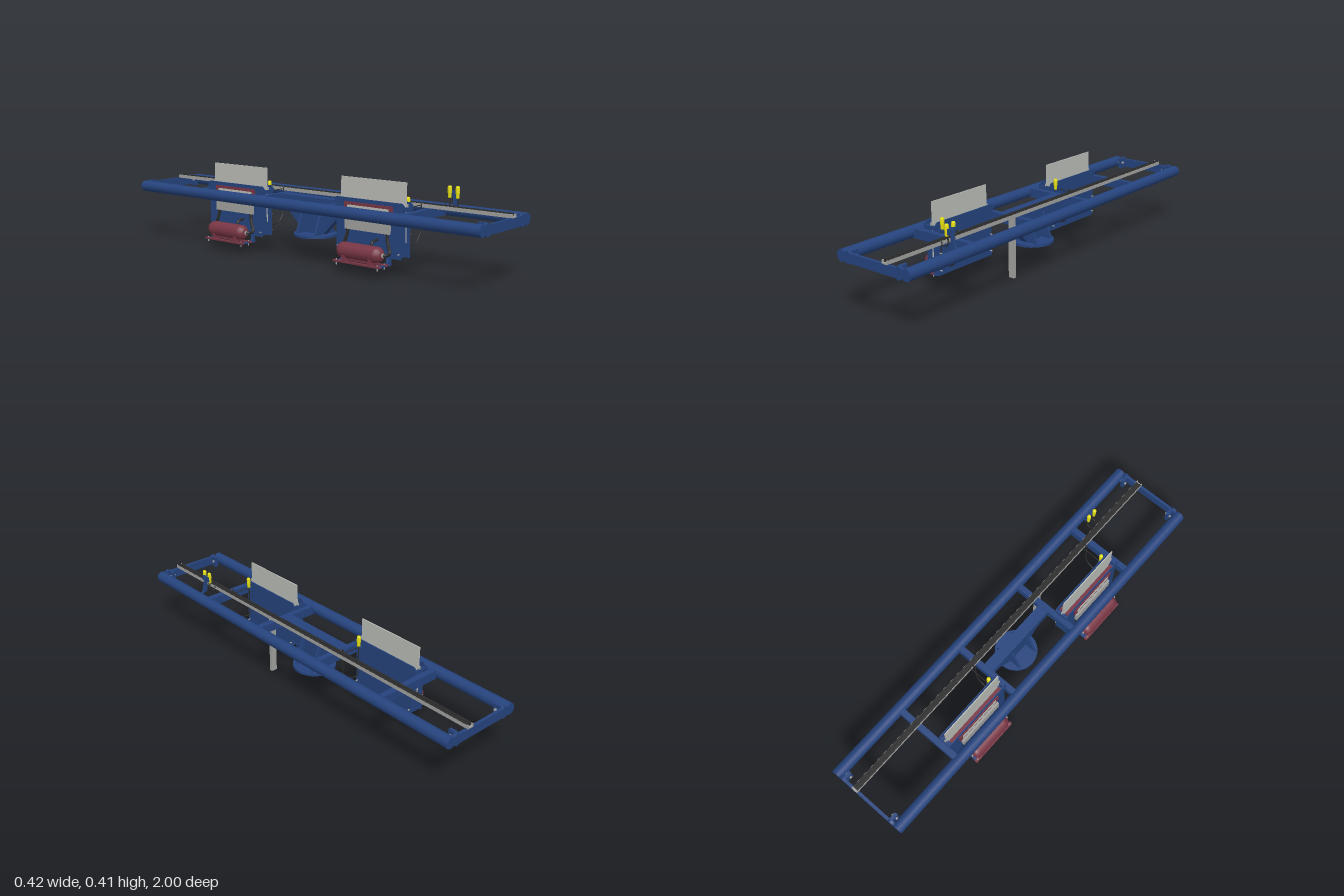
import * as THREE from 'three';

const mat = (name, color, side = THREE.FrontSide) => {
  const m = new THREE.MeshStandardMaterial({ color, side });
  m.name = name;
  return m;
};

export function createModel() {
  const blue = mat('frame blue', 0x25437d);
  const grey = mat('rail grey', 0xa0a09e);
  const pale = mat('sheet grey', 0xbabcb6);
  const black = mat('hose black', 0x2b2b2b);
  const maroon = mat('motor maroon', 0x783644);
  const yellow = mat('lamp yellow', 0xe6e010);
  const root = new THREE.Group();
  root.name = 'machineFrame';

  const add = (parent, name, geo, material) => {
    const m = new THREE.Mesh(geo, material);
    m.name = name;
    parent.add(m);
    return m;
  };
  // box from its limits on each axis
  const box = (parent, name, material, x0, x1, y0, y1, z0, z1) => {
    const g = new THREE.BoxGeometry(x1 - x0, y1 - y0, z1 - z0);
    g.translate((x0 + x1) / 2, (y0 + y1) / 2, (z0 + z1) / 2);
    return add(parent, name, g, material);
  };
  const cyl = (parent, name, material, r, len, axis, x, y, z, sides = 16) => {
    const g = new THREE.CylinderGeometry(r, r, len, sides);
    if (axis === 'z') g.rotateX(Math.PI / 2);
    if (axis === 'x') g.rotateZ(Math.PI / 2);
    g.translate(x, y, z);
    return add(parent, name, g, material);
  };
  const poly = pts => new THREE.Shape(pts.map(p => new THREE.Vector2(...p)));
  // outline in x/y, thickness centred on z
  const plateXY = (parent, name, material, shape, thick, z) => {
    const g = new THREE.ExtrudeGeometry(shape, { depth: thick, bevelEnabled: false, curveSegments: 8 });
    g.translate(0, 0, z - thick / 2);
    return add(parent, name, g, material);
  };
  // outline in z/y, thickness centred on x
  const plateZY = (parent, name, material, shape, thick, x) => {
    const g = new THREE.ExtrudeGeometry(shape, { depth: thick, bevelEnabled: false });
    g.rotateY(-Math.PI / 2).translate(x + thick / 2, 0, 0);
    return add(parent, name, g, material);
  };
  const hose = (parent, name, r, pts, material = black) => {
    const c = new THREE.CatmullRomCurve3(pts.map(p => new THREE.Vector3(...p)), false, 'centripetal');
    return add(parent, name, new THREE.TubeGeometry(c, 28, r, 8), material);
  };
  const lamp = (parent, x, y, z) => {
    const pts = [[0, 0], [0.007, 0], [0.008, 0.004], [0.008, 0.02], [0.0095, 0.022],
      [0.0095, 0.046], [0.007, 0.053], [0, 0.053]].map(p => new THREE.Vector2(...p));
    const g = new THREE.LatheGeometry(pts, 10);
    g.translate(x, y, z);
    add(parent, 'sensorLamp', g, yellow);
  };

  // long side tubes, end plates with round ends, corner lugs
  for (const s of [-1, 1]) {
    cyl(root, 'sideTube', blue, 0.027, 1.996, 'z', s * 0.181, 0.265, 0, 20);
    const st = new THREE.Shape();
    st.moveTo(-0.13, 0.242);
    st.lineTo(0.13, 0.242);
    st.lineTo(0.14, 0.235);
    st.absarc(0.14, 0.265, 0.029, -Math.PI / 2, Math.PI / 2, false);
    st.lineTo(0.13, 0.285);
    st.lineTo(-0.13, 0.285);
    st.absarc(-0.14, 0.265, 0.029, Math.PI / 2, Math.PI * 1.5, false);
    plateXY(root, 'endPlate', blue, st, 0.014, s * 0.993);
    for (const e of [-1, 1]) {
      box(root, 'cornerLug', blue, s * 0.138 - 0.008, s * 0.138 + 0.008, 0.238, 0.292, e * 0.97 - 0.018, e * 0.97 + 0.018);
      cyl(root, 'lugPin', grey, 0.006, 0.03, 'x', s * 0.138, 0.268, e * 0.965, 10);
      cyl(root, 'tubeCap', blue, 0.025, 0.004, 'z', s * 0.181, 0.265, e * 0.998, 20);
    }
  }
  // cross beams and centre beam
  for (const z of [-0.6, -0.205, 0.205, 0.6])
    box(root, 'crossBeam', blue, -0.165, 0.165, 0.242, 0.284, z - 0.014, z + 0.014);
  box(root, 'centreBeam', blue, -0.027, 0.027, 0.24, 0.283, -0.2, 0.2);

  // pedestal: foot disc, sloping web and two cross gussets
  cyl(root, 'footDisc', blue, 0.102, 0.012, 'y', 0.002, 0.106, 0, 32);
  plateZY(root, 'pedestalWeb', blue, poly([[-0.06, 0.112], [0.06, 0.112], [0.185, 0.241], [-0.185, 0.241]]), 0.034, 0.002);
  for (const z of [-0.055, 0.055])
    plateXY(root, 'pedestalGusset', blue, poly([[-0.072, 0.112], [0.074, 0.112], [0.021, 0.242], [-0.019, 0.242]]), 0.01, z);

  // cable rail: grey channel with black chain, and its post
  box(root, 'railBase', grey, 0.053, 0.083, 0.284, 0.29, -1, 1);
  for (const x of [0.053, 0.079])
    box(root, 'railWall', grey, x, x + 0.004, 0.288, 0.301, -1, 1);
  box(root, 'cableChain', black, 0.057, 0.079, 0.29, 0.2985, -0.99, 0.99);
  box(root, 'railCover', black, 0.054, 0.065, 0.2985, 0.3025, -0.99, 0.99);
  box(root, 'railCover', black, 0.071, 0.082, 0.2985, 0.3025, -0.99, 0.99);
  box(root, 'railPost', grey, 0.053, 0.083, 0, 0.284, 0.221, 0.236);

  // two press units, alike
  for (const z of [-0.4, 0.4]) {
    const u = new THREE.Group();
    u.name = 'pressUnit';
    u.position.z = z;
    root.add(u);

    // casing: face plates, ends, bottom
    const face = poly([[-0.174, 0.08], [0.174, 0.08], [0.174, 0.285], [0.188, 0.292], [0.188, 0.31],
      [0.176, 0.322], [-0.176, 0.322], [-0.188, 0.31], [-0.188, 0.292], [-0.174, 0.285]]);
    plateZY(u, 'frontFace', blue, face, 0.005, -0.0575);
    plateZY(u, 'rearFace', blue, face, 0.005, -0.1195);
    box(u, 'casingBottom', blue, -0.118, -0.058, 0.088, 0.096, -0.172, 0.172);
    for (const s of [-1, 1]) {
      box(u, 'casingEnd', blue, -0.118, -0.058, 0.092, 0.285, s * 0.169 - 0.004, s * 0.169 + 0.004);
      box(u, 'topBridge', blue, -0.118, -0.058, 0.286, 0.304, s * 0.181 - 0.005, s * 0.181 + 0.005);
      cyl(u, 'bridgeBolt', grey, 0.004, 0.014, 'y', -0.087, 0.31, s * 0.181, 8);
      // clamping bars either side of the sheet
      box(u, 'clampBar', maroon, -0.0875 + s * 0.017 - 0.009, -0.0875 + s * 0.017 + 0.009, 0.265, 0.295, -0.165, 0.165);
      cyl(u, 'faceBolt', grey, 0.003, 0.012, 'x', -0.05, 0.182, s * 0.165, 8);
      cyl(u, 'faceBolt', grey, 0.003, 0.012, 'x', -0.05, 0.103, s * 0.165, 8);
      cyl(u, 'rearBolt', grey, 0.003, 0.012, 'x', -0.125, 0.103, s * 0.165, 8);
    }
    for (let i = -2; i <= 2; i++)
      cyl(u, 'drainPlug', grey, 0.005, 0.006, 'y', -0.087, 0.087, i * 0.07, 8);
    box(u, 'slidingSheet', pale, -0.0895, -0.0845, 0.15, 0.409, -0.175, 0.175);

    // rear panel and manifold
    box(u, 'rearPanel', maroon, -0.127, -0.122, 0.25, 0.305, -0.13, 0.13);
    box(u, 'panelInset', pale, -0.129, -0.127, 0.264, 0.292, -0.11, 0.11);
    box(u, 'manifold', grey, -0.136, -0.122, 0.185, 0.24, -0.12, 0.12);

    // motor on its tray
    const prof = [[0, -0.118], [0.014, -0.117], [0.026, -0.111], [0.034, -0.099], [0.036, -0.085],
      [0.036, 0.085], [0.034, 0.099], [0.026, 0.111], [0.014, 0.117], [0, 0.118]];
    const body = new THREE.LatheGeometry(prof.map(p => new THREE.Vector2(...p)), 16);
    body.rotateX(Math.PI / 2).translate(-0.177, 0.101, 0);
    add(u, 'motorBody', body, maroon);
    for (const s of [-1, 1]) {
      box(u, 'motorSaddle', maroon, -0.208, -0.144, 0.055, 0.092, s * 0.07 - 0.007, s * 0.07 + 0.007);
      box(u, 'trayRail', maroon, -0.177 + s * 0.026 - 0.008, -0.177 + s * 0.026 + 0.008, 0.05, 0.058, -0.125, 0.125);
      box(u, 'trayArm', blue, -0.21, -0.118, 0.049, 0.054, s * 0.11 - 0.012, s * 0.11 + 0.012);
      plateXY(u, 'trayBracket', blue, poly([[-0.142, 0.052], [-0.119, 0.052], [-0.119, 0.09], [-0.122, 0.076]]), 0.008, s * 0.11);
      box(u, 'trayHanger', blue, -0.122, -0.117, 0.049, 0.1, s * 0.11 - 0.012, s * 0.11 + 0.012);
      for (const x of [-0.203, -0.152])
        cyl(u, 'trayBolt', grey, 0.003, 0.026, 'y', x, 0.05, s * 0.11, 8);
      cyl(u, 'hoseFitting', grey, 0.01, 0.008, 'z', -0.177, 0.101, s * 0.119, 12);
      // thick hose from the motor end up to the manifold
      hose(u, 'motorHose', 0.0075, [[-0.177, 0.101, s * 0.118], [-0.165, 0.101, s * 0.128], [-0.145, 0.102, s * 0.128],
        [-0.135, 0.112, s * 0.125], [-0.133, 0.14, s * 0.115], [-0.13, 0.165, s * 0.108], [-0.129, 0.187, s * 0.105]]);
    }
    hose(u, 'returnHose', 0.006, [[-0.165, 0.13, 0.05], [-0.16, 0.146, 0.05], [-0.145, 0.152, 0.05], [-0.12, 0.154, 0.05]]);

    // lamp on its bracket, cables to the rail
    box(u, 'lampBracket', blue, -0.056, -0.042, 0.284, 0.29, 0.14, 0.17);
    lamp(u, -0.047, 0.288, 0.155);
    hose(u, 'lampCable', 0.0022, [[-0.047, 0.29, 0.148], [-0.02, 0.291, 0.148], [0.02, 0.291, 0.148], [0.058, 0.292, 0.148]]);
    hose(u, 'supplyHose', 0.003, [[0.06, 0.3, 0.163], [0.054, 0.306, 0.163], [0.045, 0.304, 0.163], [0.042, 0.29, 0.163],
      [0.042, 0.21, 0.163], [0.035, 0.17, 0.163], [0.015, 0.143, 0.163], [-0.015, 0.132, 0.163], [-0.056, 0.131, 0.163]]);
    hose(u, 'faceCable', 0.003, [[-0.052, 0.284, 0.16], [-0.052, 0.2, 0.16], [-0.052, 0.13, 0.16]]);
  }

  // twin lamps on the side tube
  plateXY(root, 'lampStand', blue, poly([[0.122, 0.285], [0.16, 0.27], [0.146, 0.285], [0.128, 0.36], [0.122, 0.362]]), 0.012, 0.68);
  box(root, 'lampArm', blue, 0.119, 0.127, 0.335, 0.362, 0.655, 0.705);
  for (const z of [0.66, 0.7]) {
    lamp(root, 0.116, 0.329, z);
    hose(root, 'twinLampCable', 0.0025, [[0.074, 0.3, z], [0.079, 0.306, z], [0.085, 0.302, z], [0.09, 0.288, z],
      [0.112, 0.286, z], [0.12, 0.292, z], [0.121, 0.335, z]]);
  }
  return root;
}
